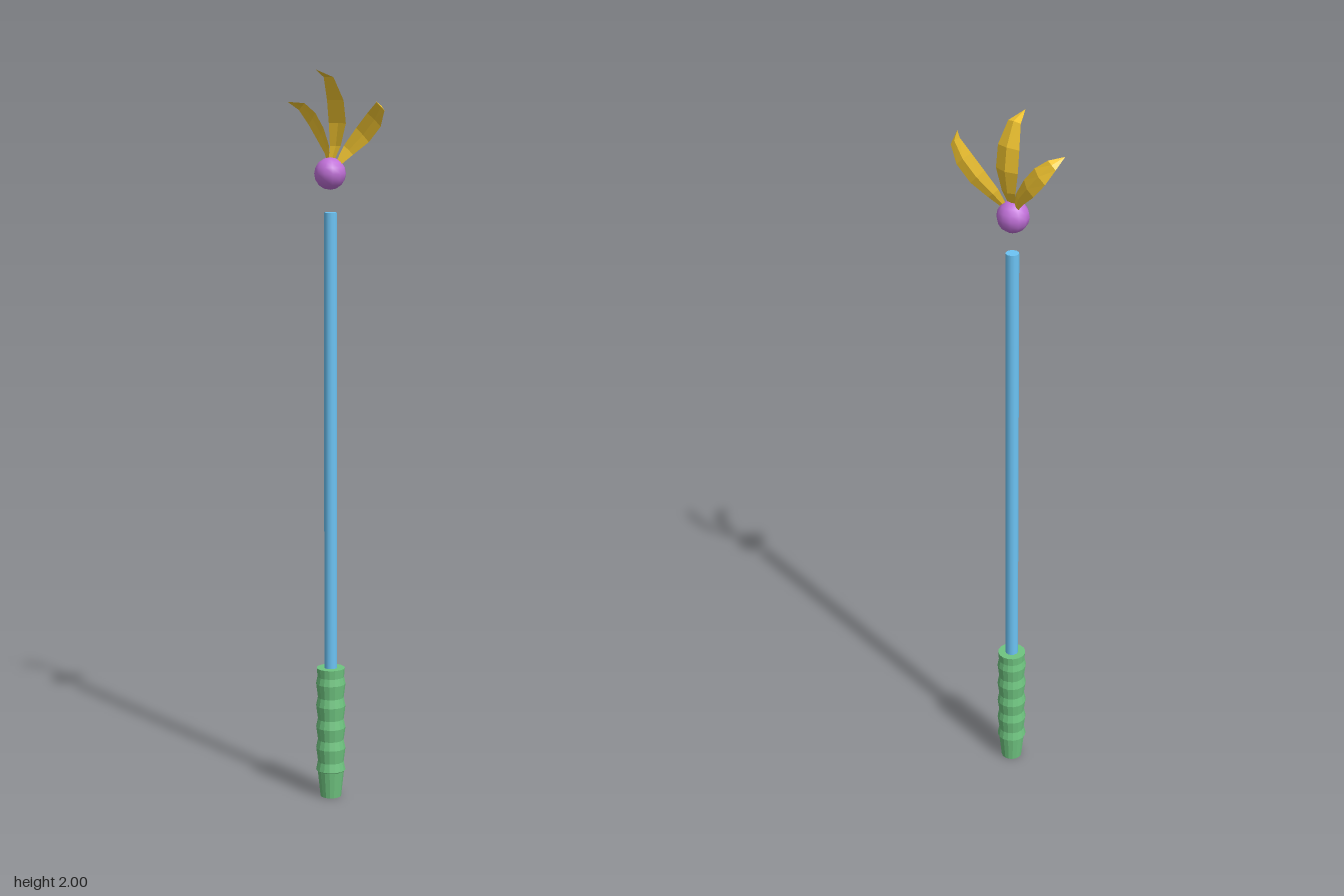
import * as THREE from 'three';

const AX = -0.008, AZ = -0.016; // shaft axis

function part(name, geometry, color, extra = {}) {
  const mesh = new THREE.Mesh(geometry, new THREE.MeshStandardMaterial({ color, ...extra }));
  mesh.name = name;
  return mesh;
}

// Leaf: thin ridged cross-sections lofted along a curved spine
function leafGeometry(spine, across, widths) {
  const pts = spine.map((p) => new THREE.Vector3(...p));
  const rings = pts.map((p, i) => {
    const t = pts[Math.min(i + 1, pts.length - 1)].clone().sub(pts[Math.max(i - 1, 0)]).normalize();
    const c = new THREE.Vector3(...across);
    c.addScaledVector(t, -c.dot(t)).normalize();
    const n = t.clone().cross(c);
    const w = widths[i];
    return [
      p.clone().addScaledVector(c, w),
      p.clone().addScaledVector(n, w * 0.25),
      p.clone().addScaledVector(c, -w),
      p.clone().addScaledVector(n, w * 0.08),
    ];
  });
  const pos = [];
  const tri = (...v) => v.forEach((q) => pos.push(q.x, q.y, q.z));
  for (let i = 0; i < rings.length - 1; i++) {
    for (let j = 0; j < 4; j++) {
      const k = (j + 1) % 4;
      const a = rings[i][j], b = rings[i][k], d = rings[i + 1][j], e = rings[i + 1][k];
      tri(a, b, e);
      if (i < rings.length - 2) tri(a, e, d);
    }
  }
  const g = new THREE.BufferGeometry();
  g.setAttribute('position', new THREE.Float32BufferAttribute(pos, 3));
  g.computeVertexNormals();
  return g;
}

export function createModel() {
  const model = new THREE.Group();

  // Ribbed grip: ridges with shallow waists between them
  const profile = [[0, 0], [0.029, 0], [0.037, 0.074]];
  const ridges = [0.077, 0.14, 0.2, 0.262, 0.325];
  ridges.forEach((y, i) => {
    profile.push([0.041, y]);
    if (i < ridges.length - 1) profile.push([0.036, y + 0.024]);
  });
  profile.push([0.037, 0.345], [0.039, 0.37], [0, 0.37]);
  const grip = part('grip', new THREE.LatheGeometry(profile.map(([x, y]) => new THREE.Vector2(x, y)), 16),
    0x6fc480, { flatShading: true });
  grip.position.set(AX, 0, AZ);
  model.add(grip);

  // Long shaft
  const shaft = part('shaft', new THREE.CylinderGeometry(0.018, 0.018, 1.275, 12), 0x6cc4f5);
  shaft.position.set(AX, 0.9875, AZ);
  model.add(shaft);

  // Floating orb
  const orb = part('orb', new THREE.SphereGeometry(0.043, 12, 8), 0xc070d8);
  orb.position.set(AX, 1.728, AZ - 0.002);
  model.add(orb);

  // Three curved leaves fanning out of the orb
  const sideWidths = [0.006, 0.018, 0.026, 0.026, 0.016, 0];
  const leaves = [
    ['middleLeaf', [[-0.008, 1.75, -0.018], [0.01, 1.8, -0.018], [0.017, 1.86, -0.018],
      [0.01, 1.92, -0.018], [-0.013, 1.98, -0.018], [-0.057, 2, -0.018]],
    [0, 0, 1], [0.008, 0.022, 0.035, 0.034, 0.02, 0]],
    ['frontLeaf', [[0, 1.75, 0], [0.022, 1.79, 0.022], [0.038, 1.83, 0.06],
      [0.043, 1.87, 0.1], [0.033, 1.905, 0.136], [0, 1.918, 0.157]],
    [0.3, -0.68, 0.68], sideWidths],
    ['backLeaf', [[0, 1.75, -0.032], [0.01, 1.79, -0.053], [0.016, 1.83, -0.087],
      [0.014, 1.87, -0.12], [0, 1.902, -0.146], [-0.04, 1.915, -0.157]],
    [-0.2, 0.68, 0.68], sideWidths],
  ];
  for (const [name, spine, across, widths] of leaves) {
    model.add(part(name, leafGeometry(spine, across, widths), 0xf2c530,
      { flatShading: true, side: THREE.DoubleSide }));
  }
  return model;
}
